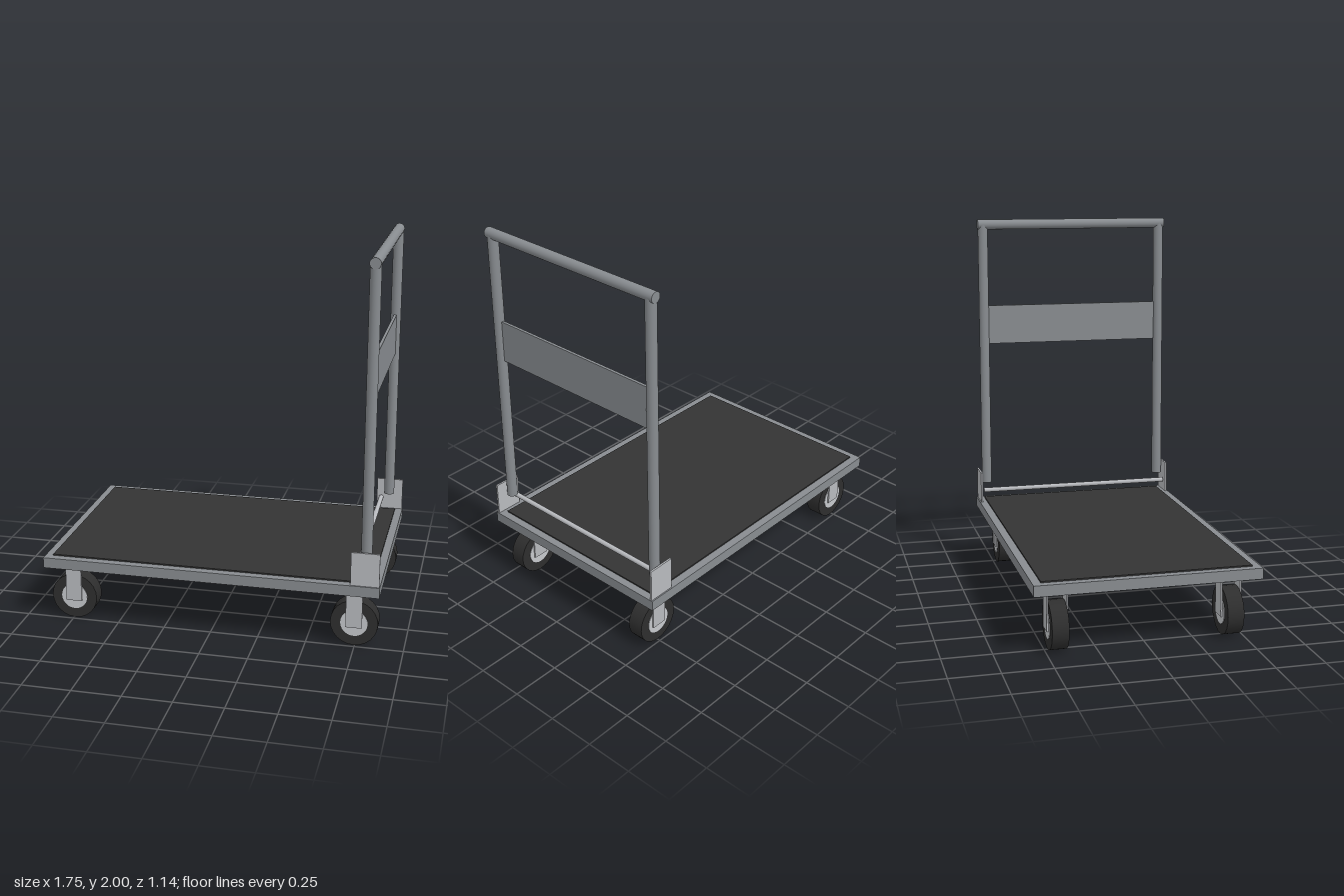
import * as THREE from 'three';

const material = (name, color) => {
  const m = new THREE.MeshStandardMaterial({ color });
  m.name = name;
  return m;
};

export function createModel() {
  const steel = material('steel grey', 0x888c90);
  const zinc = material('light zinc', 0xb8babe);
  const hubMetal = material('pale hub metal', 0xc6c8cc);
  const matRubber = material('mat rubber', 0x343434);
  const tyreRubber = material('tyre rubber', 0x2e2e2e);

  const model = new THREE.Group();
  model.name = 'platformTrolley';

  const add = (parent, name, geometry, mat, x, y, z) => {
    const mesh = new THREE.Mesh(geometry, mat);
    mesh.name = name;
    mesh.position.set(x, y, z);
    parent.add(mesh);
    return mesh;
  };
  const box = (parent, name, mat, w, h, d, x, y, z) =>
    add(parent, name, new THREE.BoxGeometry(w, h, d), mat, x, y, z);
  // Round bar lying along z
  const barZ = (parent, name, mat, r, length, x, y, z, sides = 24) =>
    add(parent, name, new THREE.CylinderGeometry(r, r, length, sides).rotateX(Math.PI / 2), mat, x, y, z);

  // Deck with its anti-slip mat
  box(model, 'deck', steel, 1.754, 0.056, 1.144, 0, 0.337, 0);
  box(model, 'mat', matRubber, 1.674, 0.008, 1.06, 0, 0.368, 0);

  // Push handle
  const handle = new THREE.Group();
  handle.name = 'handle';
  model.add(handle);
  const handleX = 0.802;
  for (const side of [-1, 1]) {
    add(handle, 'handlePost', new THREE.CylinderGeometry(0.028, 0.028, 1.502, 24), steel, handleX, 1.221, side * 0.52);
    box(handle, 'handleBracket', zinc, 0.144, 0.175, 0.01, handleX, 0.4525, side * 0.56);
  }
  barZ(handle, 'gripBar', steel, 0.028, 1.1, handleX, 1.972, 0);
  box(handle, 'handlePanel', steel, 0.015, 0.22, 0.99, handleX, 1.4, 0);
  barZ(handle, 'foldingRod', zinc, 0.013, 1.09, 0.755, 0.432, 0, 16);

  // Four casters
  for (const sx of [-1, 1]) {
    for (const sz of [-1, 1]) {
      const caster = new THREE.Group();
      caster.name = 'caster';
      caster.position.set(sx * 0.744, 0, sz * 0.44);
      model.add(caster);
      box(caster, 'mountPlate', zinc, 0.172, 0.01, 0.144, 0, 0.305, 0);
      for (const side of [-1, 1])
        box(caster, 'forkPlate', zinc, 0.084, 0.206, 0.008, 0, 0.203, side * 0.049);
      barZ(caster, 'tyre', tyreRubber, 0.122, 0.084, 0, 0.122, 0);
      barZ(caster, 'hub', hubMetal, 0.07, 0.09, 0, 0.122, 0);
    }
  }
  return model;
}
